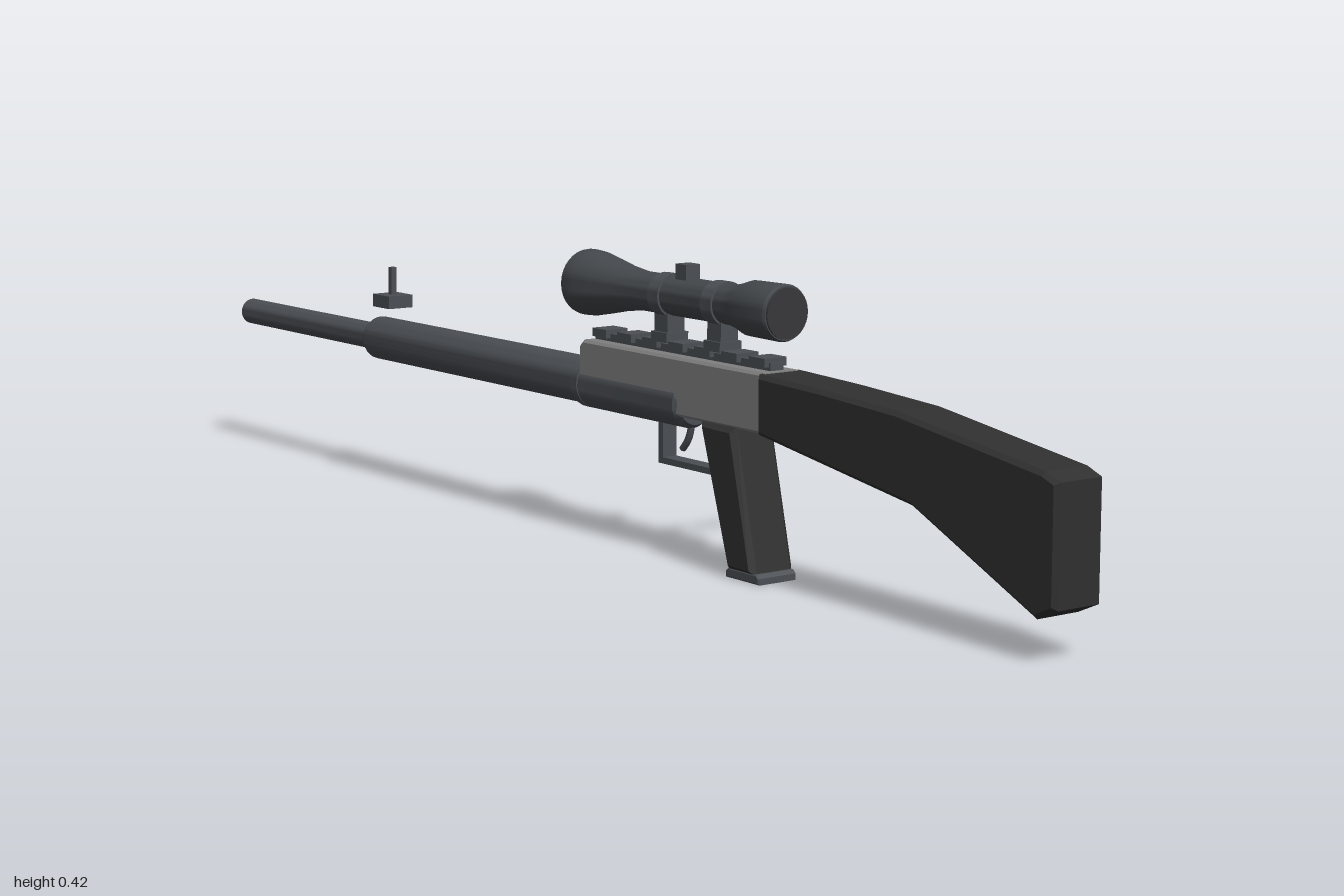
import * as THREE from 'three';
import { toCreasedNormals } from 'three/addons/utils/BufferGeometryUtils.js';

const mat = (name, color) => {
  const m = new THREE.MeshStandardMaterial({ color });
  m.name = name;
  return m;
};

export function createModel() {
  const stockBlack = mat('stock black', 0x303030);
  const gunMetal = mat('gun metal', 0x4b4f54);
  const steel = mat('receiver grey', 0x808080);
  const scopeGrey = mat('scope grey', 0x44484c);
  const lensDark = mat('eyepiece glass', 0x38383a);
  const lensGold = mat('objective glass', 0x8f7a4a);

  const root = new THREE.Group();
  root.name = 'rifle';
  const body = new THREE.Group();
  body.name = 'rifleBody';
  body.position.x = -0.055;
  root.add(body);

  const add = (name, geo, material, x = 0, y = 0, z = 0) => {
    const m = new THREE.Mesh(geo, material);
    m.name = name;
    m.position.set(x, y, z);
    body.add(m);
    return m;
  };
  const box = (name, material, w, h, d, x, y, z) =>
    add(name, new THREE.BoxGeometry(w, h, d), material, x, y, z);

  // Turned part along z; profile is [radius, z] with z rising
  const turned = (name, material, y, profile, sides = 28) => {
    const geo = new THREE.LatheGeometry(profile.map(([r, z]) => new THREE.Vector2(r, z)), sides);
    geo.rotateX(Math.PI / 2);
    return add(name, toCreasedNormals(geo, 0.5), material, 0, y, 0);
  };

  // Side outline of [z, y] points given a width across x and a chamfer
  const plate = (name, material, outline, width, bevel) => {
    const shape = new THREE.Shape(outline.map(([z, y]) => new THREE.Vector2(z, y)));
    const geo = new THREE.ExtrudeGeometry(shape, {
      depth: width - 2 * bevel, bevelEnabled: bevel > 0, bevelSize: bevel,
      bevelThickness: bevel, bevelOffset: -bevel, bevelSegments: 1,
    });
    geo.translate(0, 0, -(width - 2 * bevel) / 2);
    geo.rotateY(-Math.PI / 2);
    return add(name, geo, material);
  };

  // Shoulder stock with chamfered butt
  plate('stock', stockBlack, [
    [0.43, 0.206], [0.738, 0.158], [0.965, 0.054], [1.0, 0.07],
    [1.0, 0.226], [0.975, 0.236], [0.71, 0.274], [0.56, 0.283], [0.43, 0.288],
  ], 0.08, 0.006);

  // Receiver
  plate('receiver', steel, [
    [0.012, 0.206], [0.436, 0.206], [0.436, 0.289], [0.022, 0.289], [0.012, 0.28],
  ], 0.064, 0.004);

  // Barrel group: breech tube, collar, shroud, thin barrel
  const axis = 0.224;
  turned('breechTube', gunMetal, axis - 0.002, [[0, 0], [0.036, 0], [0.036, 0.24], [0.03, 0.25], [0, 0.25]]);
  turned('barrelCollar', gunMetal, axis, [[0, 0], [0.038, 0], [0.038, 0.014], [0, 0.014]]);
  turned('barrelShroud', gunMetal, axis, [[0, -0.584], [0.031, -0.584], [0.034, -0.578], [0.034, 0.01], [0, 0.01]]);
  turned('barrel', gunMetal, axis, [
    [0, -0.98], [0.012, -0.98], [0.012, -1], [0.018, -1], [0.021, -0.996], [0.021, -0.57], [0, -0.57],
  ]);

  // Front sight
  box('frontSightBlock', gunMetal, 0.044, 0.02, 0.048, 0, 0.287, -0.543);
  box('frontSightPost', gunMetal, 0.009, 0.045, 0.009, 0, 0.318, -0.543);

  // Scope rail with cross teeth
  box('railBase', gunMetal, 0.022, 0.012, 0.4, 0, 0.294, 0.225);
  for (let i = 0; i < 7; i++) {
    box('railTooth', gunMetal, 0.038, 0.012, 0.034, 0, 0.3, 0.045 + i * 0.06);
  }

  // Scope body, lenses, mounts and turrets
  const sy = 0.368;
  turned('scopeTube', scopeGrey, sy, [
    [0, -0.002], [0.041, -0.002], [0.042, -0.01], [0.047, -0.01], [0.048, -0.004], [0.047, 0.016],
    [0.04, 0.055], [0.033, 0.09], [0.028, 0.13], [0.028, 0.335], [0.032, 0.355], [0.038, 0.375],
    [0.039, 0.44], [0.037, 0.444], [0, 0.444],
  ], 32);
  turned('objectiveLens', lensGold, sy, [[0, -0.012], [0.043, -0.011], [0.043, -0.004], [0, -0.004]], 32);
  turned('eyepieceLens', lensDark, sy, [[0, 0.442], [0.035, 0.442], [0.035, 0.4465], [0, 0.4465]], 32);
  for (const z of [0.187, 0.307]) {
    box('mountFoot', gunMetal, 0.038, 0.014, 0.036, 0, 0.31, z);
    box('mountNeck', gunMetal, 0.03, 0.035, 0.03, 0, 0.328, z);
    turned('mountRing', gunMetal, sy, [[0.027, z - 0.012], [0.031, z - 0.012], [0.031, z + 0.012], [0.027, z + 0.012]]);
  }
  box('topTurret', gunMetal, 0.024, 0.024, 0.024, 0, 0.403, 0.228);
  box('sideTurret', gunMetal, 0.024, 0.024, 0.024, 0.035, 0.368, 0.228);

  // Bolt plate, handle and ball
  box('boltPlate', gunMetal, 0.02, 0.034, 0.046, 0.034, 0.247, 0.25);
  const from = new THREE.Vector3(0.03, 0.247, 0.245);
  const to = new THREE.Vector3(0.141, 0.223, 0.245);
  add('boltHandle', new THREE.TubeGeometry(new THREE.LineCurve3(from, to), 1, 0.0075, 14), gunMetal);
  add('boltBall', new THREE.SphereGeometry(0.015, 20, 14), gunMetal, to.x, to.y, to.z);

  // Pistol grip and base plate
  plate('grip', stockBlack, [
    [0.422, 0.01], [0.362, 0.01], [0.3, 0.208], [0.376, 0.208],
  ], 0.074, 0.008);
  plate('gripBase', gunMetal, [
    [0.43, 0], [0.357, 0], [0.357, 0.009], [0.364, 0.014], [0.425, 0.014], [0.43, 0.009],
  ], 0.066, 0.002);

  // Trigger guard and trigger
  plate('triggerGuard', gunMetal, [
    [0.31, 0.13], [0.178, 0.13], [0.178, 0.21], [0.188, 0.21], [0.188, 0.139], [0.31, 0.139],
  ], 0.024, 0);
  const triggerPath = new THREE.CatmullRomCurve3([
    new THREE.Vector3(0, 0.21, 0.24), new THREE.Vector3(0, 0.185, 0.237),
    new THREE.Vector3(0, 0.168, 0.23), new THREE.Vector3(0, 0.154, 0.218),
  ]);
  add('trigger', new THREE.TubeGeometry(triggerPath, 10, 0.005, 8), gunMetal);

  return root;
}
